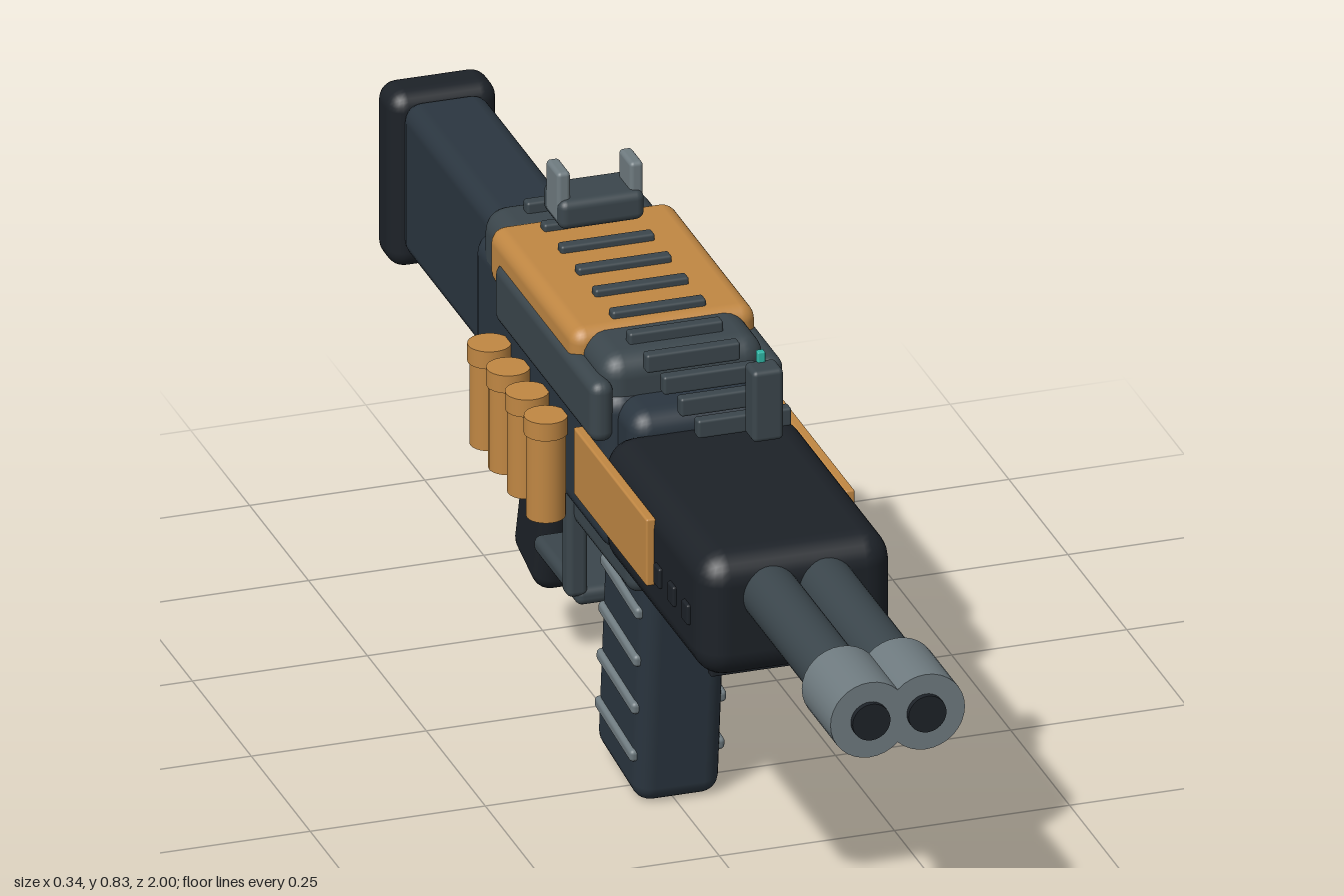
import * as THREE from 'three';
import { RoundedBoxGeometry } from 'three/addons/geometries/RoundedBoxGeometry.js';

const mat = (color) => new THREE.MeshStandardMaterial({ color });
const NAVY = mat(0x2b3640), BLACK = mat(0x1d2228), GREY = mat(0x3b464c);
const STEEL = mat(0x6f7b80), ORANGE = mat(0xc08743), TEAL = mat(0x2fb5a5);

export function createModel() {
  const model = new THREE.Group();
  const gun = new THREE.Group();
  gun.name = 'blaster';
  gun.position.x = 0.005;
  model.add(gun);

  const add = (name, geometry, material, x, y, z, parent = gun) => {
    const mesh = new THREE.Mesh(geometry, material);
    mesh.name = name;
    mesh.position.set(x, y, z);
    parent.add(mesh);
    return mesh;
  };
  // Rounded block given by its size and centre
  const block = (name, material, [w, h, d], [x, y, z], r = 0.01, parent = gun) =>
    add(name, new RoundedBoxGeometry(w, h, d, 3, r), material, x, y, z, parent);
  // Cylinder lying along z between two depths
  const rod = (name, material, r, z0, z1, x, y) =>
    add(name, new THREE.CylinderGeometry(r, r, z1 - z0, 32).rotateX(Math.PI / 2), material, x, y, (z0 + z1) / 2);

  // Twin barrels with muzzle sleeves and dark bores
  for (const x of [-0.04, 0.04]) {
    rod('barrel', GREY, 0.04, 0.5, 0.9, x, 0.54);
    rod('muzzle', STEEL, 0.056, 0.87, 0.992, x, 0.54);
    rod('bore', BLACK, 0.027, 0.9, 1.0, x, 0.54);
  }

  // Handguard with side panels, vents and lower ribs
  block('handguard', BLACK, [0.276, 0.184, 0.44], [0, 0.508, 0.355], 0.042);
  block('handguardCollar', NAVY, [0.2, 0.235, 0.13], [0, 0.51, 0.1], 0.03);
  for (const s of [-1, 1]) {
    block('sidePanel', ORANGE, [0.014, 0.1, 0.31], [s * 0.142, 0.525, 0.213], 0.003);
    for (const z of [0.39, 0.45, 0.51]) block('vent', BLACK, [0.014, 0.03, 0.025], [s * 0.136, 0.5, z], 0.003);
  }
  for (let i = 0; i < 9; i++) block('lowerRib', BLACK, [0.214, 0.024, 0.016], [0, 0.412, 0.51 - i * 0.046], 0.003);

  // Receiver
  block('lowerReceiver', NAVY, [0.236, 0.24, 0.57], [0, 0.515, -0.18], 0.03);
  block('upperReceiver', GREY, [0.234, 0.15, 0.53], [0, 0.609, -0.17], 0.032);
  block('receiverBase', GREY, [0.172, 0.075, 0.56], [0, 0.37, -0.17], 0.02);
  block('topCover', ORANGE, [0.264, 0.085, 0.365], [0, 0.647, -0.175], 0.022);
  for (const s of [-1, 1]) block('sideRail', GREY, [0.034, 0.09, 0.42], [s * 0.121, 0.61, -0.105], 0.016);

  // Top rail slats
  for (let i = 0; i < 11; i++) block('railSlat', GREY, [0.134, 0.027, 0.019], [0, 0.686, 0.335 - i * 0.0725], 0.004);

  // Chamfered ejection plate and its small fittings on the left side
  const c = 0.035, hz = 0.0925, hy = 0.085;
  const plate = new THREE.Shape([
    [-hz + c, -hy], [hz - c, -hy], [hz, -hy + c], [hz, hy - c],
    [hz - c, hy], [-hz + c, hy], [-hz, hy - c], [-hz, -hy + c],
  ].map(([a, b]) => new THREE.Vector2(a, b)));
  add('ejectionPlate', new THREE.ExtrudeGeometry(plate, {
    depth: 0.036, bevelThickness: 0.006, bevelSize: 0.005, bevelOffset: -0.005, bevelSegments: 2,
  }).rotateY(-Math.PI / 2), ORANGE, 0.142, 0.495, -0.113);
  block('accentStrip', ORANGE, [0.02, 0.016, 0.27], [0.116, 0.545, -0.155], 0.004);
  block('selector', BLACK, [0.02, 0.045, 0.025], [0.115, 0.505, -0.225], 0.004);
  add('chargingHandle', new THREE.CapsuleGeometry(0.02, 0.105, 6, 16).rotateX(Math.PI / 2), STEEL, 0.143, 0.596, -0.077);

  // Spare shells on the right side
  for (let i = 0; i < 4; i++) {
    const z = -0.31 + i * 0.08;
    add('shell', new THREE.CylinderGeometry(0.027, 0.027, 0.13, 24), ORANGE, -0.145, 0.45, z);
    add('shellRim', new THREE.CylinderGeometry(0.03, 0.03, 0.026, 24), ORANGE, -0.145, 0.522, z);
  }

  // Sights
  block('frontSight', GREY, [0.044, 0.106, 0.04], [0, 0.757, 0.425], 0.007);
  block('frontSightTip', TEAL, [0.011, 0.03, 0.011], [0, 0.81, 0.41], 0.002);
  block('rearSightBase', GREY, [0.122, 0.043, 0.08], [0, 0.732, -0.297], 0.012);
  for (const s of [-1, 1]) block('rearSightProng', STEEL, [0.019, 0.075, 0.052], [s * 0.052, 0.756, -0.294], 0.006);

  // Slanted magazine with grip ribs on both sides
  const magazine = new THREE.Group();
  magazine.name = 'magazine';
  magazine.position.set(0, 0.183, -0.007);
  magazine.rotation.x = 0.105;
  gun.add(magazine);
  block('magazineBody', NAVY, [0.122, 0.36, 0.186], [0, 0, 0], 0.026, magazine);
  for (let i = 0; i < 4; i++) {
    for (const s of [-1, 1]) block('magazineRib', STEEL, [0.016, 0.018, 0.156], [s * 0.06, 0.117 - i * 0.075, 0], 0.006, magazine);
  }

  // Grip, trigger and guard
  block('grip', BLACK, [0.11, 0.26, 0.12], [0, 0.248, -0.403], 0.026).rotation.x = 0.27;
  block('trigger', STEEL, [0.025, 0.1, 0.02], [0, 0.315, -0.23], 0.006).rotation.x = 0.3;
  block('guardPost', GREY, [0.03, 0.165, 0.03], [-0.08, 0.308, -0.14], 0.009);
  block('guardPlate', GREY, [0.164, 0.026, 0.19], [0, 0.224, -0.22], 0.011);

  // Stock
  rod('bufferTube', NAVY, 0.045, -0.56, -0.44, 0, 0.548);
  block('stock', NAVY, [0.12, 0.228, 0.44], [0, 0.488, -0.72], 0.025);
  block('buttPad', BLACK, [0.155, 0.262, 0.075], [0, 0.482, -0.9625], 0.026);

  return model;
}
